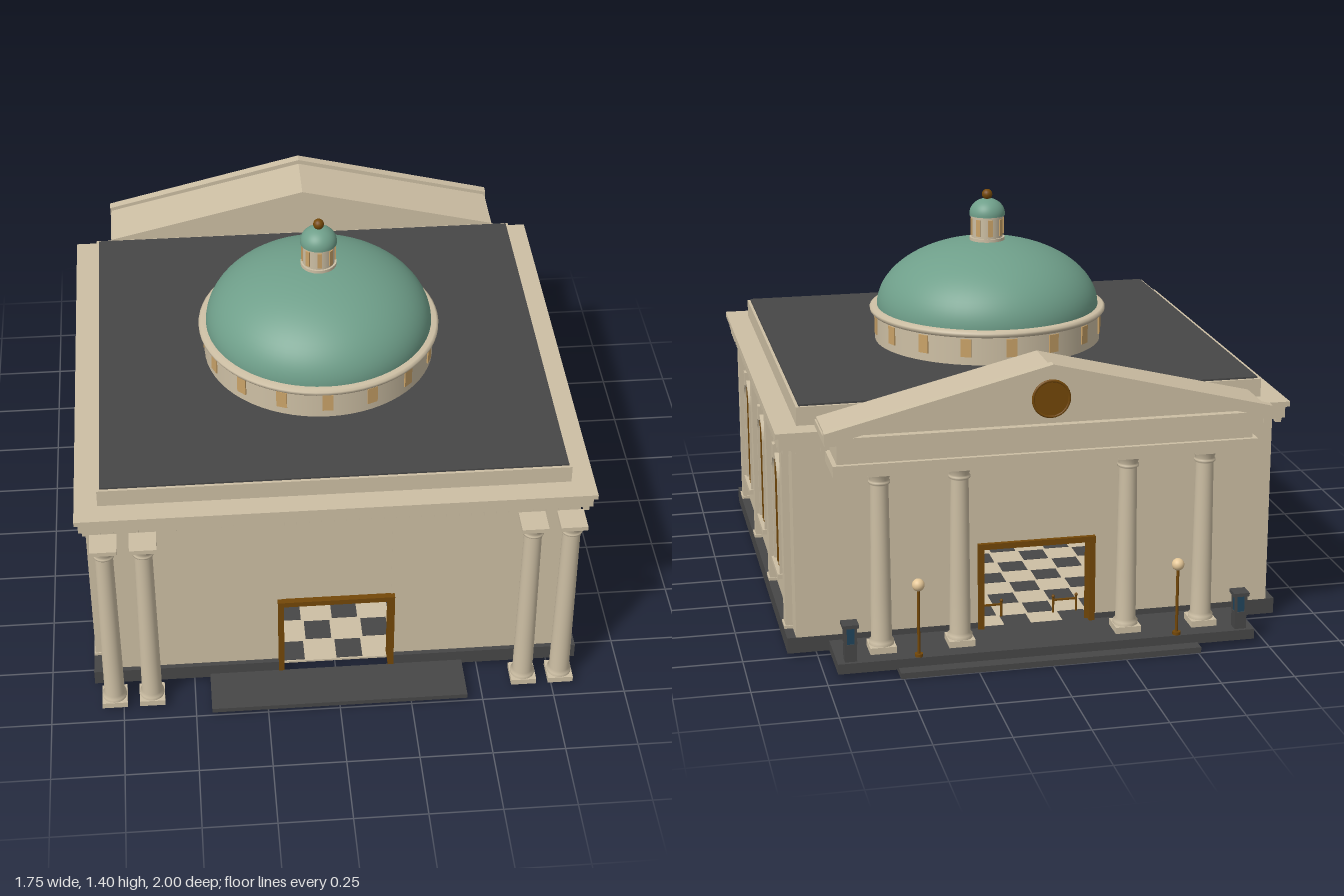
import * as THREE from 'three';

const mat = (name, color, side = THREE.FrontSide) =>
  Object.assign(new THREE.MeshStandardMaterial({ color, side }), { name });

export function createModel() {
  const stone = mat('stone', 0xcdbfa4), dark = mat('darkSlate', 0x474747);
  const copper = mat('copperGreen', 0x6f9f8a), bronze = mat('bronze', 0x744808);
  const glass = mat('blueGlass', 0x20455c), gold = mat('goldPane', 0xc9a268);
  const globe = mat('lampGlobe', 0xe6c898);
  const root = new THREE.Group();
  const C = 0.04; // z centre of the hall

  const add = (name, geo, m, parent = root) => {
    const mesh = new THREE.Mesh(geo, m);
    mesh.name = name;
    parent.add(mesh);
    return mesh;
  };
  // box given by its ranges
  const box = (name, m, x0, x1, y0, y1, z0, z1, parent) => {
    const b = add(name, new THREE.BoxGeometry(x1 - x0, y1 - y0, z1 - z0), m, parent);
    b.position.set((x0 + x1) / 2, (y0 + y1) / 2, (z0 + z1) / 2);
    return b;
  };
  const cyl = (name, m, r, y0, y1, x, z, seg = 48, parent = root) => {
    const c = add(name, new THREE.CylinderGeometry(r, r, y1 - y0, seg), m, parent);
    c.position.set(x, (y0 + y1) / 2, z);
    return c;
  };
  const extrude = (name, shape, m, z0, z1, parent) => {
    const e = add(name, new THREE.ExtrudeGeometry(shape, { depth: z1 - z0, bevelEnabled: false, curveSegments: 16 }), m, parent);
    e.position.z = z0;
    return e;
  };
  const poly = (...p) => new THREE.Shape(p.map(([x, y]) => new THREE.Vector2(x, y)));

  // chequered floor
  box('floor', stone, -0.82, 0.82, 0.022, 0.03, C - 0.75, C + 0.75);
  const nx = 16, nz = 15, tx = 1.64 / nx, tz = 1.5 / nz;
  const tiles = new THREE.InstancedMesh(new THREE.BoxGeometry(tx * 0.9, 0.011, tz * 0.9), dark, nx * nz / 2);
  tiles.name = 'floorTiles';
  let n = 0;
  for (let i = 0; i < nx; i++) for (let j = 0; j < nz; j++) {
    if ((i + j) % 2) continue;
    tiles.setMatrixAt(n++, new THREE.Matrix4().makeTranslation(-0.82 + (i + 0.5) * tx, 0.026, C - 0.75 + (j + 0.5) * tz));
  }
  root.add(tiles);

  // plinth and walls, open at the front and back doors
  for (const s of [-1, 1]) {
    const zc = C + s * 0.765;
    for (const k of [-1, 1]) {
      const [a, b] = k > 0 ? [0.195, 0.85] : [-0.85, -0.195];
      box('plinthEnd', dark, a, b, 0.015, 0.07, zc - 0.025, zc + 0.025);
      const [c, d] = k > 0 ? [0.19, 0.82] : [-0.82, -0.19];
      box('endWall', stone, c, d, 0.07, 0.73, zc - 0.025, zc + 0.008);
    }
    box('wallOverDoor', stone, -0.19, 0.19, 0.345, 0.73, zc - 0.025, zc + 0.006);
    // door frame
    for (const k of [-1, 1]) box('doorJamb', bronze, k * 0.1925 - 0.01, k * 0.1925 + 0.01, 0.03, 0.355, zc - 0.04, zc + 0.028);
    box('doorHead', bronze, -0.2025, 0.2025, 0.335, 0.355, zc - 0.04, zc + 0.028);
    // long sides
    box('plinthSide', dark, s * 0.825 - 0.025, s * 0.825 + 0.025, 0.015, 0.07, C - 0.74, C + 0.74);
    box('sideWall', stone, s * 0.8 - 0.02, s * 0.8 + 0.02, 0.07, 0.73, C - 0.77, C + 0.77);
  }

  // arched windows and pilasters, built facing +z and turned to each side
  const arch = (r, y0, y1) => {
    const s = new THREE.Shape();
    s.moveTo(-r, y0);
    s.lineTo(r, y0);
    s.lineTo(r, y1);
    s.absarc(0, y1, r, 0, Math.PI);
    s.lineTo(-r, y0);
    return s;
  };
  for (const s of [-1, 1]) {
    const side = new THREE.Group();
    side.name = s > 0 ? 'leftFacade' : 'rightFacade';
    side.position.set(s * 0.82, 0, C);
    side.rotation.y = s * Math.PI / 2;
    root.add(side);
    for (let i = -1; i <= 1; i++) {
      const w = new THREE.Group();
      w.name = 'window';
      w.position.x = i * 0.45;
      side.add(w);
      extrude('windowGlass', arch(0.074, 0.2, 0.53), glass, 0, 0.008, w);
      const frame = arch(0.086, 0.19, 0.53);
      frame.holes.push(arch(0.073, 0.2, 0.53));
      extrude('windowFrame', frame, stone, 0, 0.02, w);
      for (const x of [-0.036, 0, 0.036]) box('mullion', bronze, x - 0.005, x + 0.005, 0.2, x ? 0.585 : 0.6, 0.004, 0.014, w);
      box('sill', stone, -0.092, 0.092, 0.185, 0.202, 0, 0.028, w);
      box('keystone', stone, -0.015, 0.015, 0.595, 0.645, 0, 0.025, w);
    }
    for (let i = -1.5; i < 2; i++) {
      box('pilaster', stone, i * 0.45 - 0.0275, i * 0.45 + 0.0275, 0.07, 0.73, 0, 0.024, side);
      box('pilasterBase', stone, i * 0.45 - 0.032, i * 0.45 + 0.032, 0.065, 0.08, 0, 0.029, side);
    }
  }

  // main cornice, dentils and roof
  box('frieze', stone, -0.848, 0.848, 0.722, 0.735, C - 0.785, C + 0.785);
  box('lowerCornice', stone, -0.862, 0.862, 0.731, 0.772, C - 0.8, C + 0.8);
  box('upperCornice', stone, -0.874, 0.874, 0.772, 0.79, C - 0.813, C + 0.813);
  const dent = (x, z) => box('dentil', stone, x - 0.01, x + 0.01, 0.715, 0.732, z - 0.01, z + 0.01);
  for (const s of [-1, 1]) {
    for (let i = -20; i <= 20; i++) dent(i * 0.042, C + s * 0.788);
    for (let i = -18; i <= 18; i++) dent(s * 0.85, C + i * 0.0425);
  }
  box('parapet', stone, -0.795, 0.795, 0.79, 0.853, C - 0.735, C + 0.735);
  box('roof', dark, -0.785, 0.785, 0.852, 0.859, C - 0.725, C + 0.725);

  // domed drum and small lantern on top
  cyl('drum', stone, 0.408, 0.855, 0.965, 0, C, 64);
  const rim = add('drumRim', new THREE.LatheGeometry([[0.4, 0.958], [0.42, 0.96], [0.426, 0.968], [0.426, 0.976], [0.418, 0.983], [0.39, 0.983]]
    .map(p => new THREE.Vector2(...p)), 64), stone);
  rim.position.z = C;
  const halfDome = (name, r, h, y) => {
    const d = add(name, new THREE.SphereGeometry(1, 64, 24, 0, Math.PI * 2, 0, Math.PI / 2), copper);
    d.scale.set(r, h, r);
    d.position.set(0, y, C);
  };
  halfDome('dome', 0.4, 0.24, 0.98);
  cyl('lanternFoot', stone, 0.063, 1.205, 1.228, 0, C, 32);
  cyl('lanternDrum', stone, 0.056, 1.22, 1.31, 0, C, 32);
  cyl('lanternRim', stone, 0.06, 1.3, 1.312, 0, C, 32);
  halfDome('lanternDome', 0.064, 0.056, 1.311);
  cyl('lanternDomeBase', copper, 0.064, 1.306, 1.312, 0, C, 32);
  add('finial', new THREE.SphereGeometry(0.019, 16, 12), bronze).position.set(0, 1.381, C);
  const panes = (name, count, r, w, y0, y1) => {
    for (let i = 0; i < count; i++) {
      const g = new THREE.Group();
      g.name = name;
      g.position.z = C;
      g.rotation.y = i / count * Math.PI * 2;
      root.add(g);
      box(name, gold, -w / 2, w / 2, y0, y1, r - 0.004, r + 0.004, g);
    }
  };
  panes('drumPane', 16, 0.408, 0.038, 0.888, 0.952);
  panes('lanternPane', 8, 0.056, 0.016, 1.236, 1.296);

  // columns with square base and cap
  const column = (name, x, z, y0, y1) => {
    const g = new THREE.Group();
    g.name = name;
    g.position.set(x, 0, z);
    root.add(g);
    box('columnBase', stone, -0.044, 0.044, y0, y0 + 0.022, -0.044, 0.044, g);
    box('columnCap', stone, -0.045, 0.045, y1 - 0.016, y1, -0.045, 0.045, g);
    const prof = [[0.042, y0 + 0.02], [0.042, y0 + 0.034], [0.035, y0 + 0.042], [0.034, y0 + 0.2], [0.03, y1 - 0.055],
      [0.036, y1 - 0.05], [0.036, y1 - 0.043], [0.031, y1 - 0.038], [0.042, y1 - 0.014]];
    add('columnShaft', new THREE.LatheGeometry(prof.map(p => new THREE.Vector2(...p)), 24), stone, g);
  };
  for (const s of [-1, 1]) {
    for (const x of [0.65, 0.78]) column('frontColumn', s * x, 0.908, 0.015, 0.742);
    for (const x of [0.285, 0.55]) column('porchColumn', s * x, -0.855, 0.05, 0.682);
  }

  // front step, back porch and its step
  box('frontStep', dark, -0.445, 0.445, 0.013, 0.03, 0.83, 1);
  box('porch', dark, -0.71, 0.71, 0.015, 0.05, -0.955, -0.74);
  box('porchStep', dark, -0.51, 0.51, 0, 0.02, -1, -0.8);

  // porch entablature and gable
  box('architrave', stone, -0.71, 0.71, 0.68, 0.718, -0.925, -0.735);
  box('porchFrieze', stone, -0.695, 0.695, 0.718, 0.8, -0.91, -0.735);
  box('porchCornice', stone, -0.74, 0.74, 0.798, 0.822, -0.965, -0.735);
  extrude('gable', poly([-0.735, 0.82], [0.735, 0.82], [0.735, 0.83], [0, 1.01], [-0.735, 0.83]), stone, -0.94, -0.735);
  extrude('rakingCornice', poly([-0.742, 0.81], [-0.66, 0.822], [0, 0.985], [0.66, 0.822], [0.742, 0.81], [0.742, 0.842], [0, 1.027], [-0.742, 0.842]),
    stone, -0.972, -0.938);
  const medal = cyl('medallion', bronze, 0.06, 0, 0.008, 0, 0, 32);
  medal.rotation.x = Math.PI / 2;
  medal.position.set(0, 0.905, -0.943);
  add('medallionRim', new THREE.TorusGeometry(0.06, 0.005, 8, 32), bronze).position.set(0, 0.905, -0.944);

  for (const s of [-1, 1]) {
    // square lantern at the porch corner
    const lan = new THREE.Group();
    lan.name = 'porchLantern';
    lan.position.set(s * 0.665, 0, -0.922);
    root.add(lan);
    box('lanternPost', dark, -0.02, 0.02, 0.05, 0.11, -0.02, 0.02, lan);
    box('lanternGlass', glass, -0.017, 0.017, 0.11, 0.17, -0.017, 0.017, lan);
    for (const x of [-0.017, 0.017]) for (const z of [-0.017, 0.017])
      box('lanternCorner', dark, x - 0.004, x + 0.004, 0.11, 0.17, z - 0.004, z + 0.004, lan);
    box('lanternCap', dark, -0.027, 0.027, 0.168, 0.18, -0.027, 0.027, lan);
    // globe lamp
    cyl('lampPost', bronze, 0.005, 0.05, 0.29, s * 0.44, -0.94, 10);
    cyl('lampFoot', bronze, 0.014, 0.05, 0.06, s * 0.44, -0.94, 12);
    add('lampGlobe', new THREE.SphereGeometry(0.021, 20, 14), globe).position.set(s * 0.44, 0.3, -0.94);
    // low rail inside the door
    for (const x of [0.092, 0.174]) {
      cyl('railPost', bronze, 0.004, 0.03, 0.088, s * x, -0.62, 8);
      add('railKnob', new THREE.SphereGeometry(0.006, 10, 8), bronze).position.set(s * x, 0.09, -0.62);
    }
    box('rail', bronze, s * 0.133 - 0.041, s * 0.133 + 0.041, 0.073, 0.079, -0.623, -0.617);
  }
  return root;
}
